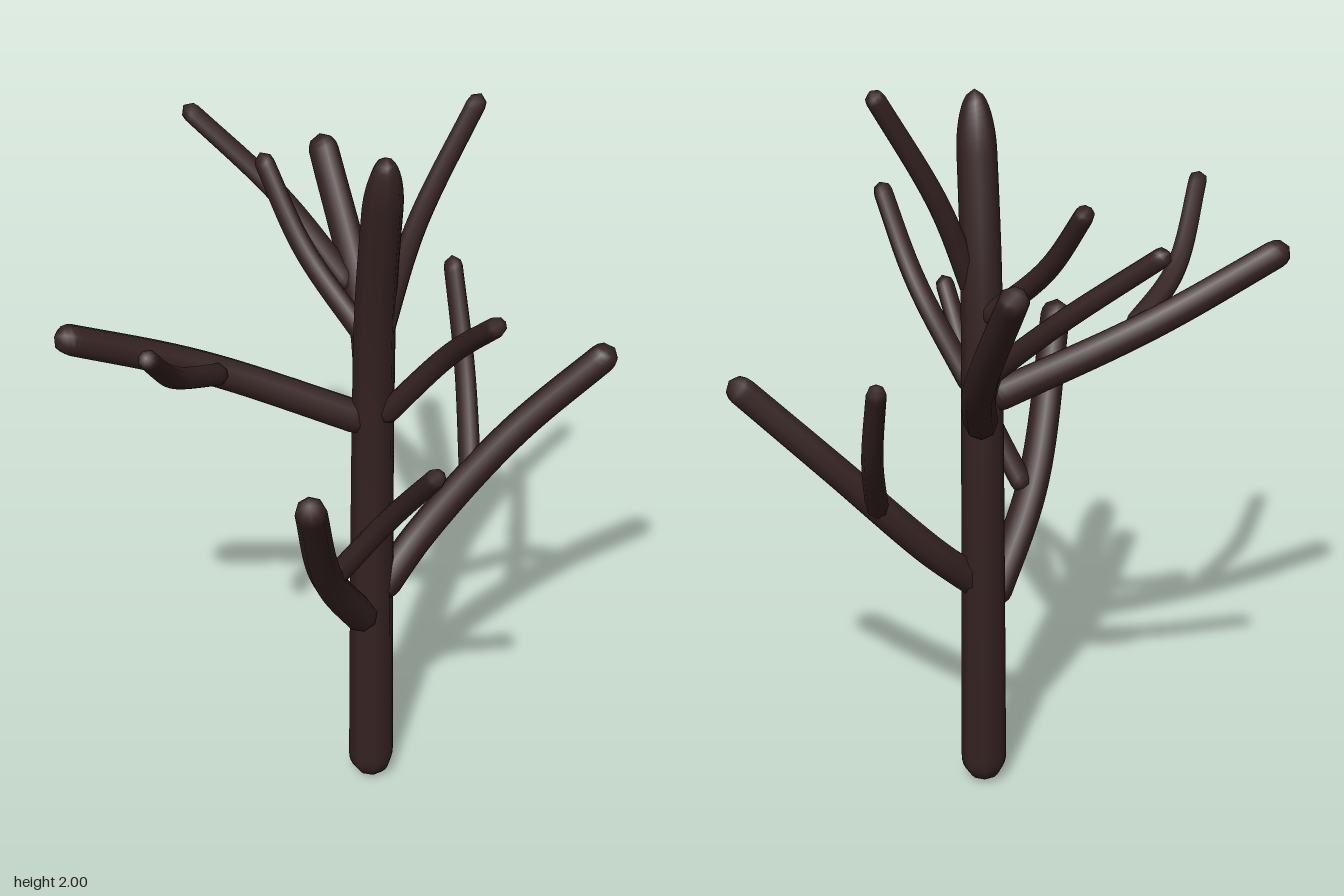
import * as THREE from 'three';
import { mergeVertices } from 'three/addons/utils/BufferGeometryUtils.js';

const SIDES = 8;

// Tapered limb along a curve, closed by a rounded cap at each end
function limb(name, material, points, r0, r1, startCap, endCap) {
  const path = new THREE.CatmullRomCurve3(points.map((p) => new THREE.Vector3(...p)));
  const length = path.getLength();
  const rings = Math.ceil(length / 0.015);
  const tube = new THREE.TubeGeometry(path, rings, 1, SIDES, false);
  const pos = tube.attributes.position;
  const round = (d, cap) => (d >= cap ? 1 : Math.sqrt(Math.max(0, 1 - (1 - d / cap) ** 2)));
  const v = new THREE.Vector3();
  for (let i = 0; i <= rings; i++) {
    const u = i / rings;
    const centre = path.getPointAt(u);
    const r = THREE.MathUtils.lerp(r0, r1, u)
      * round(u * length, startCap) * round((1 - u) * length, endCap);
    for (let j = 0; j <= SIDES; j++) {
      const k = i * (SIDES + 1) + j;
      v.fromBufferAttribute(pos, k).sub(centre).multiplyScalar(r).add(centre);
      pos.setXYZ(k, v.x, v.y, v.z);
    }
  }
  tube.deleteAttribute('uv');
  tube.deleteAttribute('normal');
  const geometry = mergeVertices(tube, 1e-5);
  geometry.computeVertexNormals();
  const mesh = new THREE.Mesh(geometry, material);
  mesh.name = name;
  return mesh;
}

export function createModel() {
  const group = new THREE.Group();
  group.name = 'bareTree';
  const bark = new THREE.MeshStandardMaterial({ color: 0x352222 });
  bark.name = 'darkBark';

  // Trunk, leaning forward near the top
  const trunk = [[0.07, 0, 0.055], [0.07, 0.6, 0.045], [0.07, 1.2, 0.05],
    [0.07, 1.5, 0.075], [0.08, 1.94, 0.155]];
  group.add(limb('trunk', bark, trunk, 0.061, 0.05, 0.07, 0.16));

  // Thick boughs: root, bend and tip
  const boughs = {
    leftBough: [[0.08, 0.6, 0.06], [0.21, 0.74, -0.01], [0.45, 1, -0.048], [0.71, 1.25, -0.03]],
    frontBough: [[0.05, 0.53, 0.07], [-0.075, 0.8, 0.245], [-0.16, 1.22, 0.515]],
    rightBough: [[0.06, 1.14, 0.045], [-0.36, 1.34, 0.045], [-0.72, 1.51, 0.13]],
    backBough: [[0.075, 1.08, 0.01], [0.09, 1.29, -0.21], [0.02, 1.67, -0.52]],
  };
  for (const [name, points] of Object.entries(boughs)) {
    group.add(limb(name, bark, points, 0.045, 0.039, 0.045, 0.046));
  }

  // Thin twigs on the boughs and the upper trunk
  const twigs = {
    leftBoughTwig: [[0.345, 0.87, -0.04], [0.358, 1.11, -0.22], [0.345, 1.37, -0.36]],
    frontBoughTwig: [[-0.055, 0.79, 0.22], [0.06, 1.02, 0.325], [0.15, 1.29, 0.535]],
    rightBoughTwig: [[-0.31, 1.32, 0.055], [-0.44, 1.42, 0.215], [-0.525, 1.61, 0.425]],
    backBoughTwig: [[0.07, 1.35, -0.26], [-0.1, 1.555, -0.41], [-0.33, 1.77, -0.535]],
    frontUpperTwig: [[0.09, 1.16, 0.065], [0.23, 1.41, 0.2], [0.315, 1.61, 0.4]],
    backUpperTwig: [[0.06, 1.37, 0.04], [-0.08, 1.56, -0.115], [-0.17, 1.77, -0.245]],
    crownTwig: [[0.08, 1.4, 0.085], [0.175, 1.68, 0.03], [0.34, 2, -0.025]],
  };
  for (const [name, points] of Object.entries(twigs)) {
    group.add(limb(name, bark, points, 0.03, 0.025, 0.03, 0.03));
  }
  return group;
}
